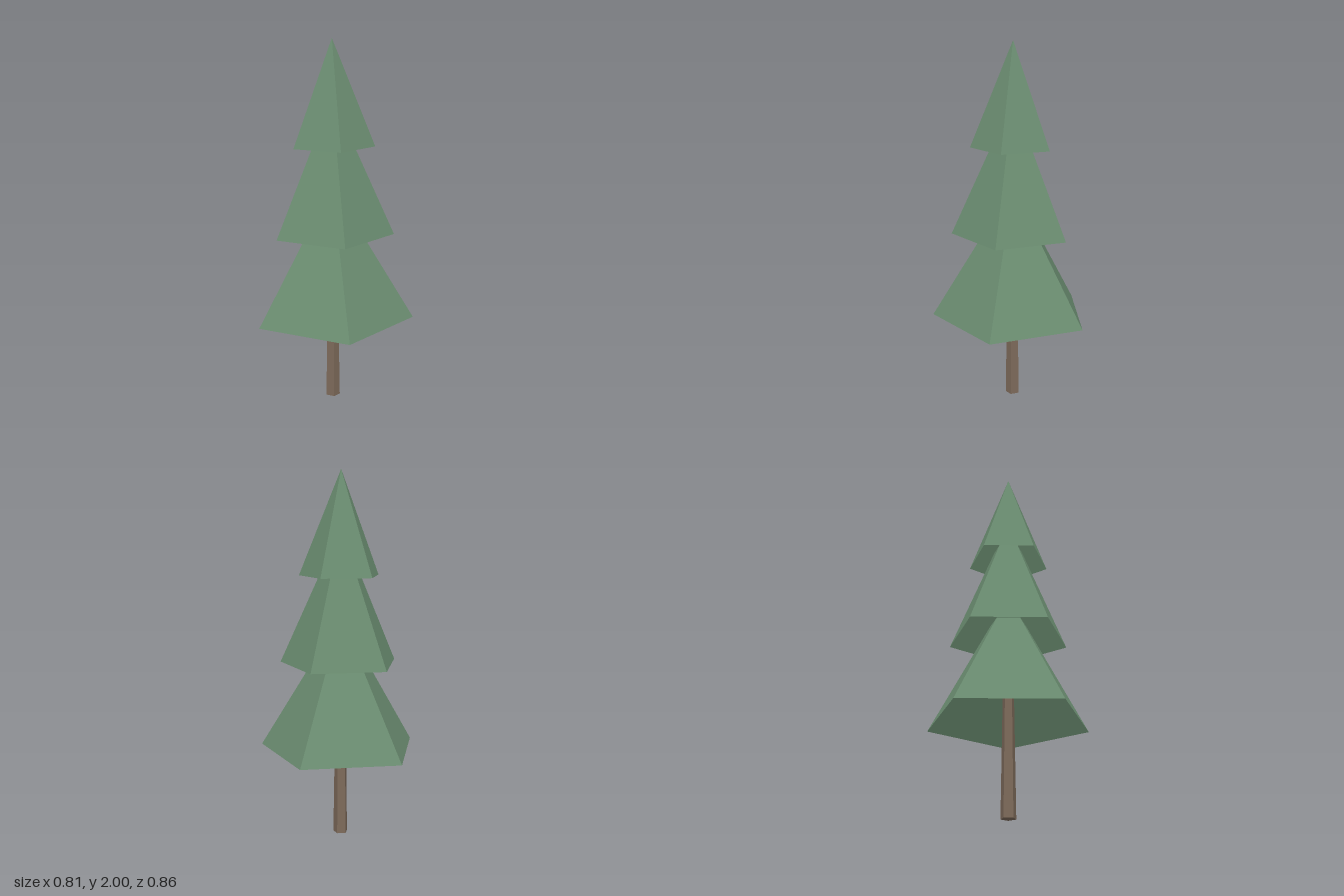
import * as THREE from 'three';

const SIDES = 5;
const AXIS_X = -0.043;

export function createModel() {
  const tree = new THREE.Group();
  tree.name = 'pineTree';

  const needles = new THREE.MeshStandardMaterial({ color: 0x6a8c70, flatShading: true, side: THREE.DoubleSide });
  needles.name = 'needleGreen';
  const bark = new THREE.MeshStandardMaterial({ color: 0x7d6a5a, flatShading: true });
  bark.name = 'barkBrown';

  // Five-sided tapered section with one corner pointing to +x
  function section(name, rTop, rBottom, y0, y1, material, open) {
    const geometry = new THREE.CylinderGeometry(rTop, rBottom, y1 - y0, SIDES, 1, open, Math.PI / 2);
    const mesh = new THREE.Mesh(geometry, material);
    mesh.name = name;
    mesh.position.set(AXIS_X, (y0 + y1) / 2, 0);
    tree.add(mesh);
  }

  // Trunk, running up inside the lowest tier
  section('trunk', 0.026, 0.041, 0, 0.98, bark, false);

  // Hollow skirts of branches, each tucked into the one above
  section('lowerBranches', 0.105, 0.45, 0.49, 1.055, needles, true);
  section('middleBranches', 0.085, 0.337, 0.965, 1.516, needles, true);
  section('topBranches', 0, 0.23, 1.442, 2, needles, true);

  return tree;
}
